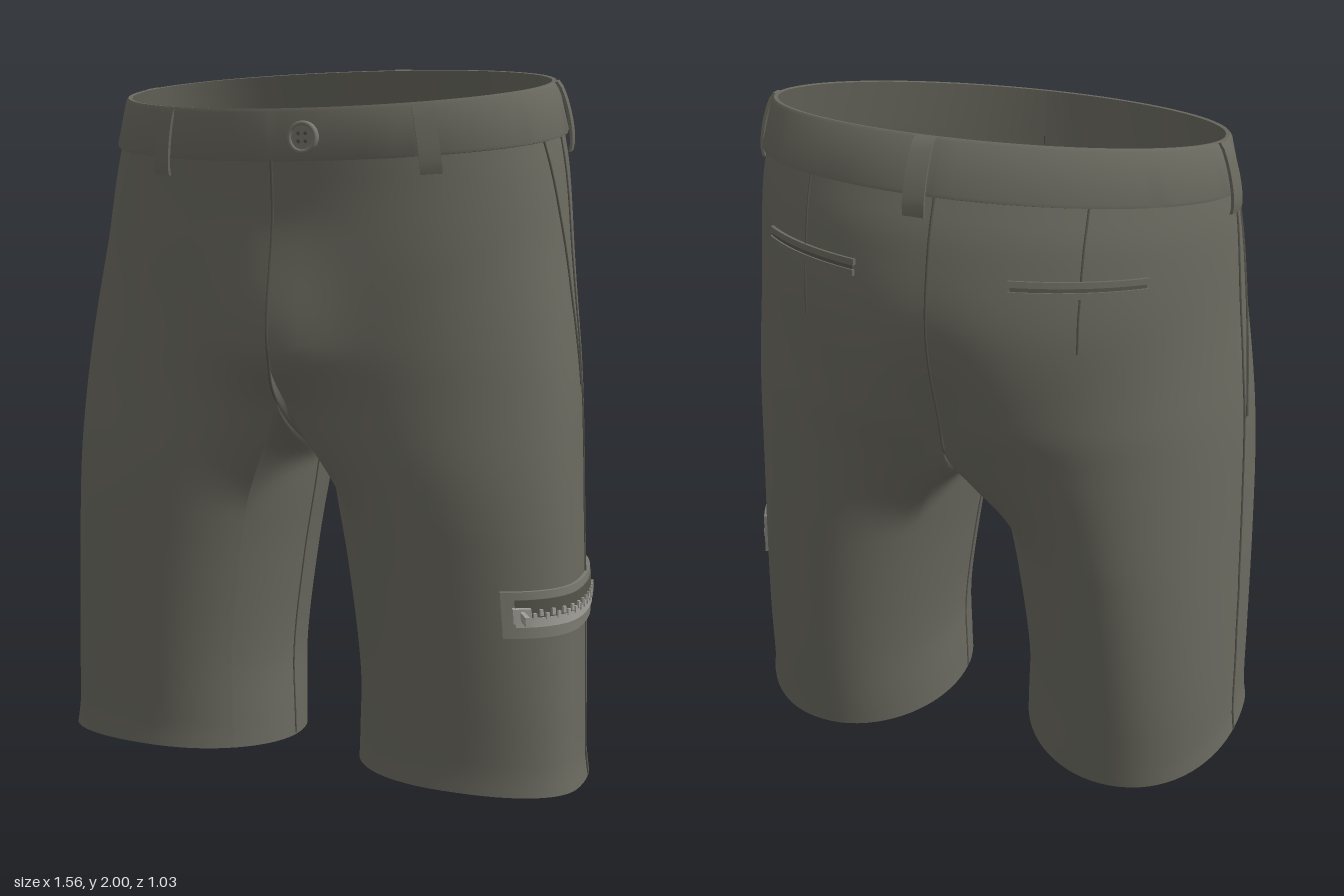
import * as THREE from 'three';
import { toCreasedNormals } from 'three/addons/utils/BufferGeometryUtils.js';

const mat = (name, color, side = THREE.FrontSide) => {
  const m = new THREE.MeshStandardMaterial({ color, side });
  m.name = name;
  return m;
};
const smooth = THREE.MathUtils.smoothstep;

// Profile rows: level, outer x, inner leg x, front z, back z, tilt (y per z)
const ROWS = [
  [0.025, 0.78, 0.115, 0.387, -0.29, 0.086],
  [0.09, 0.771, 0.117, 0.383, -0.297, 0.078],
  [0.3, 0.765, 0.12, 0.39, -0.32, 0.05],
  [0.6, 0.757, 0.084, 0.403, -0.35, 0.02],
  [0.8, 0.75, 0.05, 0.414, -0.372, 0],
  [0.93, 0.745, 0.03, 0.423, -0.395, 0],
  [1.1, 0.735, 0.006, 0.432, -0.44, 0],
  [1.25, 0.72, 0, 0.445, -0.485, 0],
  [1.5, 0.69, 0, 0.458, -0.52, -0.06],
  [1.7, 0.668, 0, 0.462, -0.482, -0.12],
  [1.8, 0.65, 0, 0.468, -0.437, -0.15],
  [1.94, 0.615, 0, 0.475, -0.372, -0.16],
];
const CROTCH = 1.2, BAND = 1.8, TOP = 1.94;

// Smooth interpolation of the profile rows
function profile(level) {
  const v = THREE.MathUtils.clamp(level, ROWS[0][0], TOP);
  let i = 0;
  while (i < ROWS.length - 2 && v > ROWS[i + 1][0]) i++;
  const a = ROWS[i], b = ROWS[i + 1], p = ROWS[Math.max(0, i - 1)], q = ROWS[Math.min(ROWS.length - 1, i + 2)];
  const h = b[0] - a[0], k = (v - a[0]) / h, k2 = k * k, k3 = k2 * k;
  return a.map((_, c) => {
    const m0 = (b[c] - p[c]) / (b[0] - p[0]) * h, m1 = (q[c] - a[c]) / (q[0] - a[0]) * h;
    return (2 * k3 - 3 * k2 + 1) * a[c] + (k3 - 2 * k2 + k) * m0 + (3 * k2 - 2 * k3) * b[c] + (k3 - k2) * m1;
  });
}

// Point of the left half: t 0..1 runs front to back round the outside,
// or back to front along the inner leg when inner is true
function point(v, t, inner = false) {
  const [, xo, , f, b, tilt] = profile(v);
  const mid = Math.max(0, Math.sin(Math.PI * t));
  const dip = inner ? 0.46 * Math.max(0, v - 0.7) * mid : 0;
  const xi = profile(v - dip)[2];
  const hip = Math.PI * (inner ? 1 + t : t);
  const leg = Math.PI * (inner ? 1.25 + 0.5 * t : -0.25 + 1.5 * t);
  // the hip section turns into the leg section, earlier on the outside
  const w = inner ? 1 - smooth(v, 0.75 + 0.28 * mid, CROTCH) : 1 - smooth(v, 0.75, CROTCH + 0.4 * mid);
  const zAt = (c, zm) => zm + c * (c > 0 ? f - zm : zm - b);
  const ch = Math.cos(hip), hx = inner ? 0 : xo * Math.sin(hip);
  let hz = zAt(ch, 0.1 - 0.07 * smooth(v, 1.3, TOP));
  // crease between the seat halves and fullness at the fly
  if (ch < 0) hz += 0.05 * ch * ch * Math.exp(-((hx / 0.11) ** 2) - ((v - 1.2) / 0.2) ** 2);
  else hz += 0.055 * ch * ch * Math.exp(-((hx / 0.16) ** 2)) * smooth(v, 1.05, 1.24) * (1 - smooth(v, 1.27, 1.65));
  // leg section: square at the outer front, rounder elsewhere, fuller at the hem
  const cl = Math.cos(leg), sl = Math.sin(leg), rise = smooth(v, 0.1, 1.1);
  const power = sl < 0 ? 1 : cl > 0 ? 0.8 + 0.1 * rise : 0.95 + 0.11 * rise;
  const bow = (c) => Math.sign(c) * Math.abs(c) ** power;
  const lx = (xo + xi) / 2 + (xo - xi) / 2 * bow(sl);
  const lz = zAt(bow(cl), 0.12 + 0.04 * sl);
  const x = hx + (lx - hx) * w, z = hz + (lz - hz) * w;
  return new THREE.Vector3(x, v + tilt * z - dip, z);
}

// Point lifted off the outside surface along its normal
function lifted(v, t, d) {
  const e = 0.004;
  const dt = point(v, t + e).sub(point(v, t - e));
  const dv = point(v + e, t).sub(point(v - e, t));
  return point(v, t).addScaledVector(dt.cross(dv).normalize(), d);
}

// Outer parameter where the given axis reaches a value
function find(v, axis, value, lo = 0, hi = 1) {
  let best = lo, err = Infinity;
  for (let i = 0; i <= 600; i++) {
    const t = lo + (hi - lo) * i / 600, d = Math.abs(point(v, t)[axis] - value);
    if (d < err) { err = d; best = t; }
  }
  return best;
}

// Outer parameter at a distance along the cloth from t0
function along(v, t0, dist) {
  const step = Math.sign(dist) * 0.002;
  let t = t0, left = Math.abs(dist), p = point(v, t);
  while (left > 1e-6) {
    const q = point(v, t + step), d = p.distanceTo(q);
    if (d >= left) return t + step * left / d;
    left -= d;
    t += step;
    p = q;
  }
  return t;
}

function grid(rows, cols, at, keep = () => true) {
  const pos = [], idx = [];
  for (let j = 0; j <= rows; j++) for (let i = 0; i <= cols; i++) pos.push(...at(i, j).toArray());
  for (let j = 0; j < rows; j++) for (let i = 0; i < cols; i++) {
    if (!keep(i, j)) continue;
    const a = j * (cols + 1) + i, d = a + cols + 1;
    idx.push(a, a + 1, d + 1, a, d + 1, d);
  }
  const g = new THREE.BufferGeometry();
  g.setAttribute('position', new THREE.Float32BufferAttribute(pos, 3));
  g.setIndex(idx);
  g.computeVertexNormals();
  return g;
}

// Lay a flat geometry (x along the cloth, y up, z outward) on the surface
function drape(geo, v0, t0, lift = () => 0) {
  const pos = geo.attributes.position;
  for (let i = 0; i < pos.count; i++) {
    const y = pos.getY(i);
    const p = lifted(v0 + y, along(v0, t0, pos.getX(i)), pos.getZ(i) + lift(y));
    pos.setXYZ(i, p.x, p.y, p.z);
  }
  return toCreasedNormals(geo, 0.7);
}

function mirrored(geo) {
  const g = geo.index ? geo.toNonIndexed() : geo.clone();
  g.scale(-1, 1, 1);
  for (const a of Object.values(g.attributes)) {
    for (let i = 0; i < a.count; i += 3) for (let c = 0; c < a.itemSize; c++) {
      const k = a.getComponent(i + 1, c);
      a.setComponent(i + 1, c, a.getComponent(i + 2, c));
      a.setComponent(i + 2, c, k);
    }
  }
  return g;
}

const tube = (pts, r = 0.004) => new THREE.TubeGeometry(new THREE.CatmullRomCurve3(pts), pts.length * 3, r, 5);
const steps = (n, fn) => Array.from({ length: n + 1 }, (_, i) => fn(i / n));

export function createModel() {
  const group = new THREE.Group();
  const cloth = mat('olive cloth', 0x6a695f, THREE.DoubleSide);
  const seam = mat('dark seam', 0x54534a);
  const tape = mat('zip tape', 0x7b7a71);
  const metal = mat('zip metal', 0xa09f98);
  const buttonGrey = mat('button grey', 0x77766d);
  const add = (name, geo, m) => {
    const mesh = new THREE.Mesh(geo, m);
    mesh.name = name;
    group.add(mesh);
    return mesh;
  };
  const pair = (name, geo, m) => {
    add('left' + name, geo, m);
    add('right' + name, mirrored(geo), m);
  };

  // Legs and seat: the inner leg columns stop at the crotch seam
  const low = 40, high = 22, outer = 56, inner = 20;
  const level = (j) => j <= low ? 0.025 + (CROTCH - 0.025) * j / low : CROTCH + (BAND + 0.01 - CROTCH) * (j - low) / high;
  const body = grid(low + high, outer + inner,
    (i, j) => i <= outer ? point(level(j), i / outer) : point(level(j), (i - outer) / inner, true),
    (i, j) => i < outer || j < low);
  pair('HalfOfShorts', body, cloth);

  // Waistband with a folded top edge
  const section = [[BAND, 0], [BAND, 0.01], [1.808, 0.013], [1.93, 0.013], [TOP, 0.009], [TOP, -0.002], [BAND, -0.004]];
  const band = grid(section.length - 1, 48, (i, j) => lifted(section[j][0], i / 48, section[j][1]));
  pair('Waistband', toCreasedNormals(band, 0.8), cloth);

  // Belt loops
  const loop = (v0, t0, bulge) => drape(new THREE.BoxGeometry(0.055, 0.185, 0.008, 2, 10, 1), v0, t0,
    (y) => 0.01 + bulge * Math.sqrt(Math.max(0, 1 - (y / 0.094) ** 2)));
  const frontLoop = (x) => loop(1.84, find(1.84, 'x', x, 0, 0.5), 0.01);
  add('leftFrontBeltLoop', frontLoop(0.395), cloth);
  add('rightFrontBeltLoop', mirrored(frontLoop(0.335)), cloth);
  pair('SideBeltLoop', loop(1.846, find(1.846, 'z', -0.02), 0.016), cloth);
  add('backBeltLoop', loop(1.846, find(1.846, 'x', 0.04, 0.5, 1), 0.026), cloth);

  // Seams
  add('centreSeam', tube([
    ...steps(12, (k) => point(BAND - (BAND - CROTCH) * k, 0)),
    ...steps(14, (k) => point(CROTCH, 1 - k, true)).slice(1, -1),
    ...steps(12, (k) => point(CROTCH + (BAND - CROTCH) * k, 1)),
  ]), seam);
  pair('OuterSeam', tube(steps(24, (k) => {
    const v = BAND - (BAND - 0.03) * k;
    return lifted(v, find(v, 'z', 0.03 + 0.025 * k), 0.001);
  }), 0.0035), seam);
  pair('InnerSeam', tube(steps(16, (k) => point(CROTCH - (CROTCH - 0.03) * k, 0.5, true)), 0.0035), seam);
  pair('FrontPocketEdge', tube(steps(10, (k) => {
    const v = BAND - 0.67 * k;
    return lifted(v, find(v, 'z', 0.135 - 0.075 * k), 0.001);
  })), seam);

  // Back welt pockets with a dart through each
  const weltV = 1.622, weltT = find(weltV, 'x', 0.37, 0.5, 1);
  pair('BackPocketSlot', drape(new THREE.BoxGeometry(0.35, 0.012, 0.008, 14, 1, 1), weltV, weltT), seam);
  for (const [name, dy] of [['Upper', 0.012], ['Lower', -0.012]]) {
    pair(name + 'BackPocketLip', drape(new THREE.BoxGeometry(0.36, 0.014, 0.02, 14, 1, 1), weltV + dy, weltT), cloth);
  }
  pair('BackDart', tube(steps(8, (k) => {
    const v = BAND - 0.33 * k;
    return lifted(v, find(v, 'x', 0.37, 0.5, 1), 0.001);
  }), 0.003), seam);

  // Zip pocket on the left leg
  const zipV = 0.55, zipT = find(zipV, 'z', 0.15);
  const onZip = (name, w, h, d, x, y, lift, m) => add(name,
    drape(new THREE.BoxGeometry(w, h, d, Math.max(1, Math.round(w / 0.03)), 1, 1), zipV + y, along(zipV, zipT, x), () => lift), m);
  onZip('zipPatch', 0.57, 0.13, 0.014, 0, 0, 0.003, tape);
  onZip('zipOpening', 0.5, 0.066, 0.006, 0, 0.01, 0.01, seam);
  onZip('zipLowerTape', 0.5, 0.026, 0.006, 0, -0.02, 0.012, metal);
  for (let i = 0; i < 25; i++) onZip('zipTooth', 0.009, 0.018, 0.01, -0.2 + i * 0.0172, i % 2 ? 0.007 : -0.003, 0.014, metal);
  onZip('zipSlider', 0.045, 0.04, 0.02, -0.235, 0.002, 0.018, metal);
  onZip('zipPullTab', 0.01, 0.026, 0.07, -0.235, 0.002, 0.05, metal);

  // Waist button with a raised rim
  const button = add('waistButton', new THREE.CylinderGeometry(0.04, 0.042, 0.012, 28), buttonGrey);
  button.rotation.x = Math.PI / 2;
  button.position.set(0.105, 1.79, 0.498);
  const rim = add('buttonRim', new THREE.TorusGeometry(0.036, 0.006, 8, 28), buttonGrey);
  rim.position.set(0.105, 1.79, 0.503);
  for (const sx of [-1, 1]) for (const sy of [-1, 1]) {
    const hole = add('buttonHole', new THREE.CylinderGeometry(0.005, 0.005, 0.004, 10), seam);
    hole.rotation.x = Math.PI / 2;
    hole.position.set(0.105 + sx * 0.01, 1.79 + sy * 0.01, 0.504);
  }
  return group;
}
